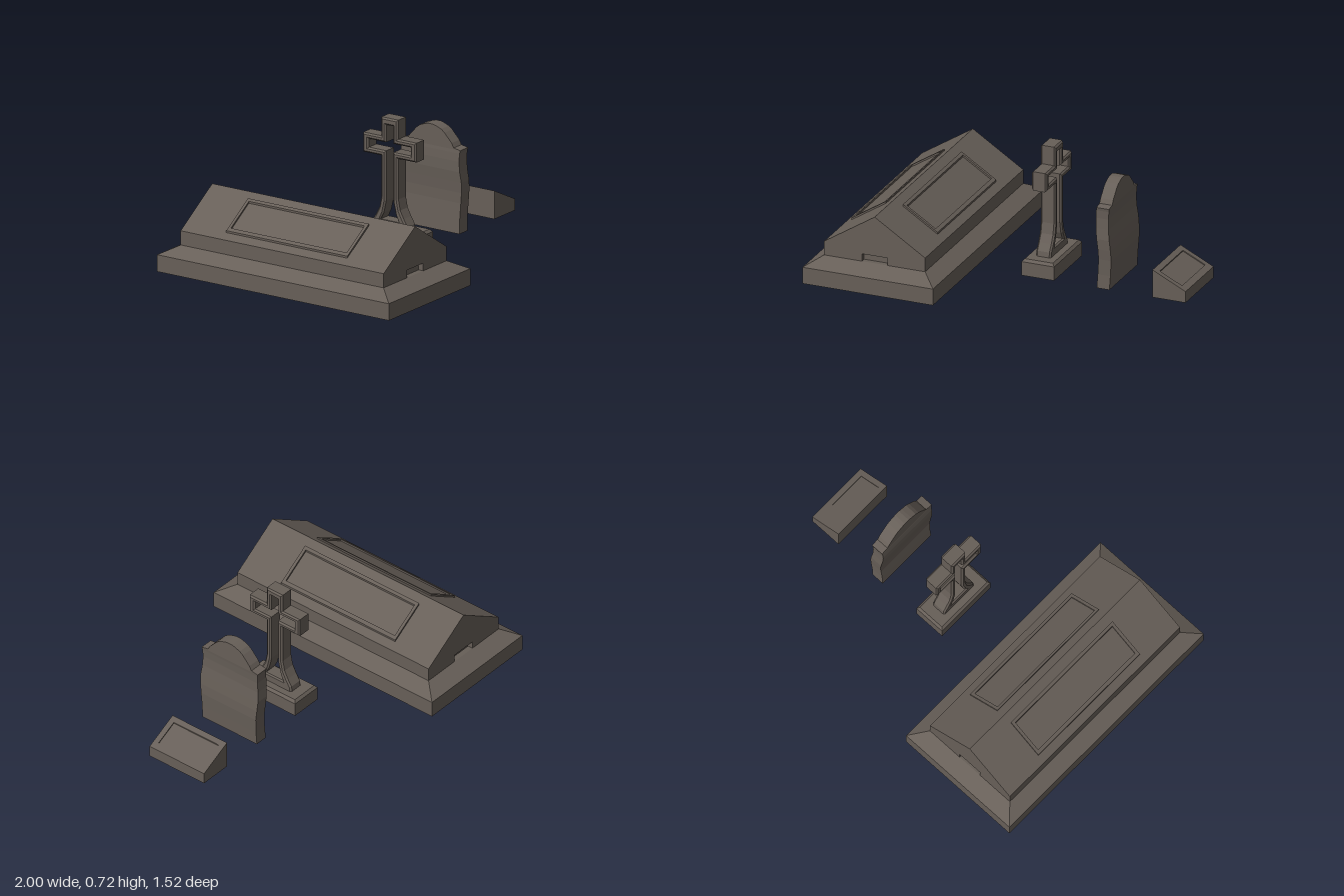
import * as THREE from 'three';

const stone = new THREE.MeshStandardMaterial({ color: 0x675f58 });
stone.name = 'weathered stone';

function add(parent, name, geometry) {
  geometry.computeVertexNormals();
  const mesh = new THREE.Mesh(geometry, stone);
  mesh.name = name;
  parent.add(mesh);
  return mesh;
}

// Solid stacked from rectangles: each ring is [y, centre x, half x, half z]
function stack(rings) {
  const loops = rings.map(([y, cx, hx, hz]) => [
    [cx - hx, y, hz], [cx + hx, y, hz], [cx + hx, y, -hz], [cx - hx, y, -hz],
  ]);
  const pos = [];
  const quad = (a, b, c, d) => pos.push(...a, ...b, ...c, ...a, ...c, ...d);
  for (let i = 0; i < loops.length - 1; i++) {
    for (let k = 0; k < 4; k++) {
      const n = (k + 1) % 4;
      quad(loops[i][k], loops[i][n], loops[i + 1][n], loops[i + 1][k]);
    }
  }
  quad(...loops[loops.length - 1]);
  quad(...loops[0].slice().reverse());
  const g = new THREE.BufferGeometry();
  g.setAttribute('position', new THREE.Float32BufferAttribute(pos, 3));
  return g;
}

const toShape = (pts) => new THREE.Shape(pts.map(([x, y]) => new THREE.Vector2(x, y)));

// Prism with an x-y outline running from z0 to z1
function prism(pts, z0, z1) {
  return new THREE.ExtrudeGeometry(toShape(pts), { depth: z1 - z0, bevelEnabled: false }).translate(0, 0, z0);
}

// Rectangular rim lying on a slope; outer and inner are [x0, x1, half z]
function slopedFrame(outer, inner, thickness, heightAt) {
  const rect = ([x0, x1, z]) => [[x0, -z], [x1, -z], [x1, z], [x0, z]];
  const shape = toShape(rect(outer));
  shape.holes.push(toShape(rect(inner)));
  const g = new THREE.ExtrudeGeometry(shape, { depth: thickness, bevelEnabled: false }).rotateX(-Math.PI / 2);
  const p = g.attributes.position;
  for (let i = 0; i < p.count; i++) p.setY(i, p.getY(i) + heightAt(p.getX(i)));
  return g;
}

function makeTomb() {
  const tomb = new THREE.Group();
  tomb.name = 'tomb';
  add(tomb, 'tombPlinth', stack([
    [0, 0, 0.3825, 0.762], [0.095, 0, 0.3825, 0.762], [0.145, 0, 0.296, 0.667],
  ]));
  const roof = [[0.296, 0.145], [0.296, 0.225], [0, 0.415], [-0.296, 0.225], [-0.296, 0.145]];
  const notch = [[-0.075, 0.145], [-0.075, 0.188], [0.075, 0.188], [0.075, 0.145]];
  const end = 0.667, inset = 0.03;
  add(tomb, 'tombBody', prism(roof, inset - end, end - inset));
  // gable ends with a small recess at the foot
  add(tomb, 'frontGable', prism([...roof, ...notch], end - inset, end));
  add(tomb, 'backGable', prism([...roof, ...notch], -end, inset - end));
  // raised rims on both roof slopes
  const roofY = (x) => 0.415 - Math.abs(x) * 0.19 / 0.296;
  for (const s of [-1, 1]) {
    const span = (a, b, z) => [Math.min(s * a, s * b), Math.max(s * a, s * b), z];
    add(tomb, s < 0 ? 'rightRoofPanel' : 'leftRoofPanel',
      slopedFrame(span(0.05, 0.253, 0.398), span(0.066, 0.234, 0.38), 0.011, roofY));
  }
  tomb.position.x = -0.6175;
  return tomb;
}

// One side of a cross outline, bottom to top, mirrored into a closed loop
const mirrored = (half) => [...half, ...half.slice().reverse().map(([x, y]) => [-x, y])];

function makeCross() {
  const cross = new THREE.Group();
  cross.name = 'crossMonument';
  add(cross, 'crossPlinth', stack([
    [0, 0, 0.095, 0.19], [0.08, 0, 0.095, 0.19], [0.095, 0, 0.082, 0.177],
  ]));
  const shape = toShape(mirrored([
    [0.12, 0.085], [0.115, 0.125], [0.09, 0.165], [0.067, 0.21], [0.055, 0.27],
    [0.055, 0.5], [0.175, 0.5], [0.175, 0.61], [0.055, 0.61], [0.055, 0.718],
  ]));
  // cross-shaped opening through the stone
  shape.holes.push(toShape(mirrored([
    [0.06, 0.14], [0.04, 0.18], [0.024, 0.25], [0.024, 0.531],
    [0.138, 0.531], [0.138, 0.579], [0.024, 0.579], [0.024, 0.678],
  ])));
  const bevel = 0.009;
  add(cross, 'crossStone', new THREE.ExtrudeGeometry(shape, {
    depth: 0.088 - 2 * bevel, bevelThickness: bevel, bevelSize: bevel,
    bevelOffset: -bevel, bevelSegments: 1,
  }).translate(0, 0, bevel - 0.044).rotateY(Math.PI / 2));
  cross.position.x = 0.134;
  return cross;
}

function makeHeadstone() {
  // worn slab: height, sideways sway, half width
  const rows = [
    [0, 0.516, 0.19], [0.08, 0.521, 0.188], [0.17, 0.527, 0.191], [0.23, 0.525, 0.197],
    [0.29, 0.519, 0.2], [0.35, 0.512, 0.194], [0.41, 0.511, 0.19], [0.455, 0.514, 0.192],
    [0.472, 0.516, 0.195], [0.48, 0.516, 0.152], [0.505, 0.516, 0.138], [0.53, 0.516, 0.115],
    [0.555, 0.516, 0.092], [0.572, 0.516, 0.07], [0.585, 0.516, 0.035], [0.59, 0.516, 0.015],
  ];
  return stack(rows.map(([y, cx, hz]) => [y, cx, 0.037, hz]));
}

function makeMarker() {
  const marker = new THREE.Group();
  marker.name = 'slantMarker';
  const rim = 0.006, x0 = 0.806, x1 = 1;
  const topY = (x) => 0.16 - rim - (x - x0) * 0.095 / (x1 - x0);
  add(marker, 'markerBlock', prism([[x0, 0], [x1, 0], [x1, topY(x1)], [x0, topY(x0)]], -0.19, 0.19));
  add(marker, 'markerRim', slopedFrame([x0, x1, 0.19], [0.835, 0.965, 0.157], rim, topY));
  return marker;
}

export function createModel() {
  const model = new THREE.Group();
  model.name = 'graveyardStones';
  model.add(makeTomb(), makeCross(), makeMarker());
  add(model, 'headstone', makeHeadstone());
  return model;
}
